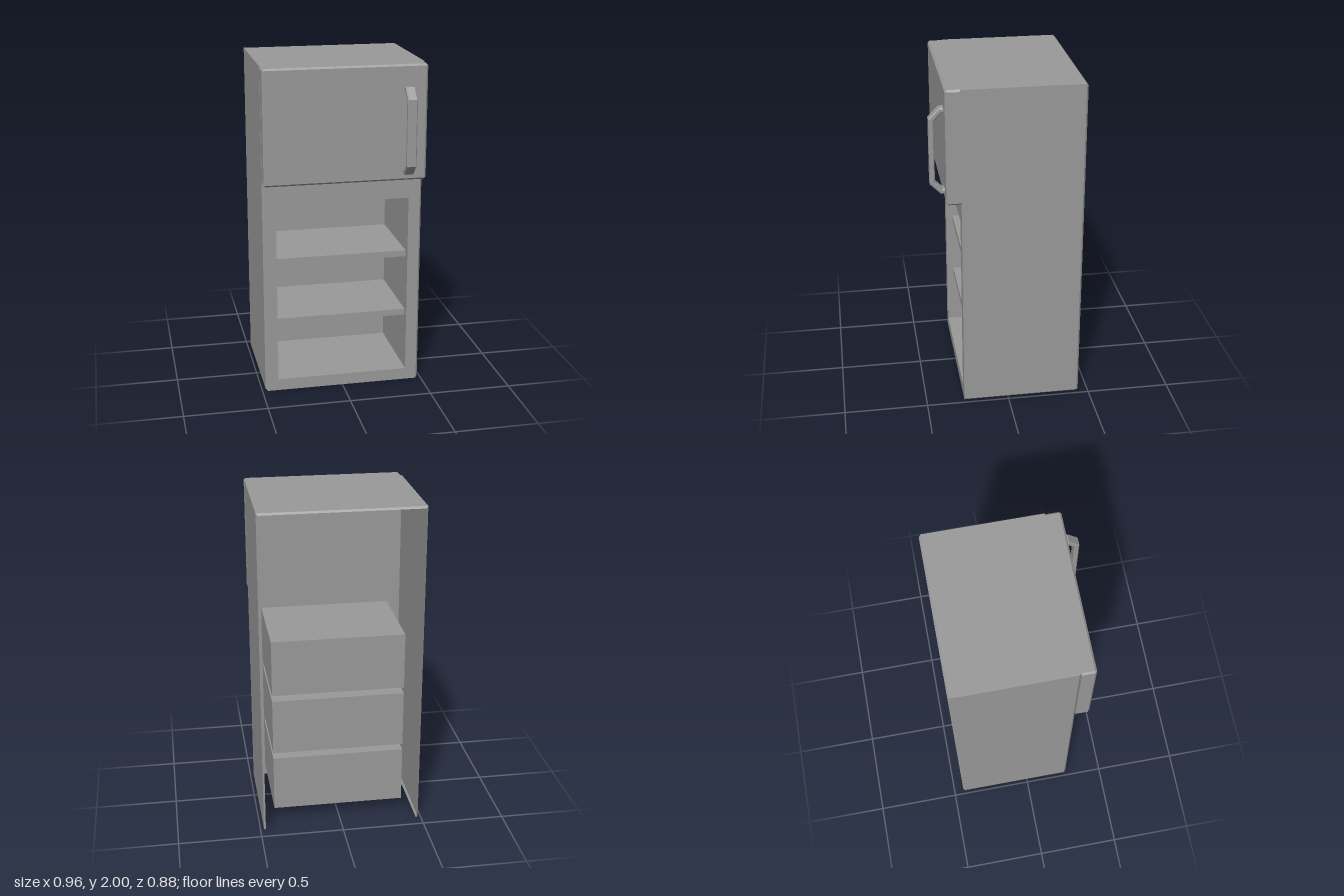
import * as THREE from 'three';

const material = new THREE.MeshStandardMaterial({ color: 0x999999, flatShading: true, side: THREE.DoubleSide });

// Faceted skin stretched between cross-sections that have equal point counts
function skin(rows, closed = false) {
  const pos = [];
  for (let r = 0; r < rows.length - 1; r++) {
    const a = rows[r], b = rows[r + 1], n = a.length;
    for (let i = 0; i < (closed ? n : n - 1); i++) {
      const j = (i + 1) % n;
      pos.push(...a[i], ...a[j], ...b[j], ...a[i], ...b[j], ...b[i]);
    }
  }
  const g = new THREE.BufferGeometry();
  g.setAttribute('position', new THREE.Float32BufferAttribute(pos, 3));
  g.computeVertexNormals();
  return g;
}

// Rectangle at depth z, optionally with cut corners
function ring(x0, x1, y0, y1, z, c = 0) {
  const pts = c
    ? [[x0 + c, y0], [x1 - c, y0], [x1, y0 + c], [x1, y1 - c], [x1 - c, y1], [x0 + c, y1], [x0, y1 - c], [x0, y0 + c]]
    : [[x0, y0], [x1, y0], [x1, y1], [x0, y1]];
  return pts.map(([x, y]) => [x, y, z]);
}

const toVectors = points => points.map(([x, y]) => new THREE.Vector2(x, y));

function flat(points, hole) {
  const shape = new THREE.Shape(toVectors(points));
  if (hole) shape.holes.push(new THREE.Path(toVectors(hole)));
  return new THREE.ShapeGeometry(shape);
}

export function createModel() {
  const model = new THREE.Group();
  const add = (name, geometry, parent = model) => {
    const mesh = new THREE.Mesh(geometry, material);
    mesh.name = name;
    parent.add(mesh);
    return mesh;
  };

  const W = 0.48, H = 2, back = -0.44, front = 0.27, c = 0.011;
  const ox = 0.4, oy0 = 0.072, oy1 = 1.184; // opening
  const doorY = 1.318, doorZ = 0.355;

  // Cabinet: thin shell with chamfered edges, open at the back and bottom
  const cabinet = new THREE.Group();
  cabinet.name = 'cabinet';
  model.add(cabinet);
  for (const s of [-1, 1]) {
    const foot = [[W - c, 0, back + c], [W - c, 0, back + c], [W - c, 0, front - c], [W - c, 0, front]];
    const level = (y, yBack) => [[W - c, yBack, back], [W, y, back + c], [W, y, front - c], [W - c, y, front]];
    const rows = [foot, level(c, c), level(H, H - c)];
    add(s > 0 ? 'leftWall' : 'rightWall', skin(rows.map(r => r.map(([x, y, z]) => [s * x, y, z]))), cabinet);
  }
  add('topPanel', skin([
    [[-W + c, H - c, back], [W - c, H - c, back]],
    [[-W, H, back + c], [W, H, back + c]],
    [[-W, H, front - c], [W, H, front - c]],
    [[-W + c, H, front], [W - c, H, front]],
  ]), cabinet);
  add('frontFrame', flat(
    ring(-W + c, W - c, 0, doorY, 0),
    ring(-ox, ox, oy0, oy1, 0),
  ), cabinet).position.z = front;

  // Open lower section: three recessed boxes separated by shelf edges
  const lip = 0.23, boxBack = -0.3, gap = 0.038;
  const boxH = (oy1 - oy0 - 2 * gap) / 3;
  const interior = new THREE.Group();
  interior.name = 'interior';
  model.add(interior);
  add('openingReveal', skin([ring(-ox, ox, oy0, oy1, front), ring(-ox, ox, oy0, oy1, lip)], true), interior);
  for (let i = 0; i < 3; i++) {
    const y0 = oy0 + i * (boxH + gap), y1 = y0 + boxH;
    add('compartment', skin([ring(-ox, ox, y0, y1, lip), ring(-ox, ox, y0, y1, boxBack)], true), interior);
    add('compartmentBack', flat(ring(-ox, ox, y0, y1, 0)), interior).position.z = boxBack;
    if (i < 2) add('shelfEdge', flat(ring(-ox, ox, y1, y1 + gap, 0)), interior).position.z = lip;
  }

  // Upper door with chamfered edges
  const door = new THREE.Group();
  door.name = 'door';
  model.add(door);
  const face = ring(-W + c, W - c, doorY + c, H - c, doorZ, 0.001);
  const rear = ring(-W, W, doorY, H, front, c);
  add('doorEdges', skin([rear, ring(-W, W, doorY, H, doorZ - c, c), face], true), door);
  add('doorFace', flat(face), door).position.z = doorZ;
  add('doorBack', flat(rear), door).position.z = front;

  // Bracket handle: bar with mitred bends, extruded across its width
  const hy0 = 1.357, hy1 = 1.872, hz = 0.44, t = 0.03, e = 0.006;
  const bend = (inset, cut) => {
    const z = hz - inset, y = hy1 - inset;
    const top = [[doorZ - 0.005, y], [z - cut, y], [z, y - cut]];
    return [...top, ...top.map(([pz, py]) => [pz, hy0 + hy1 - py]).reverse()];
  };
  const outline = [...bend(e, 0.058), ...bend(t - e, 0.047).reverse()];
  const handle = new THREE.ExtrudeGeometry(new THREE.Shape(toVectors(outline)), {
    depth: 0.058 - 2 * e, bevelSize: e, bevelThickness: e, bevelSegments: 1,
  });
  handle.rotateY(-Math.PI / 2);
  add('handle', handle, door).position.x = 0.398 - e;

  return model;
}
